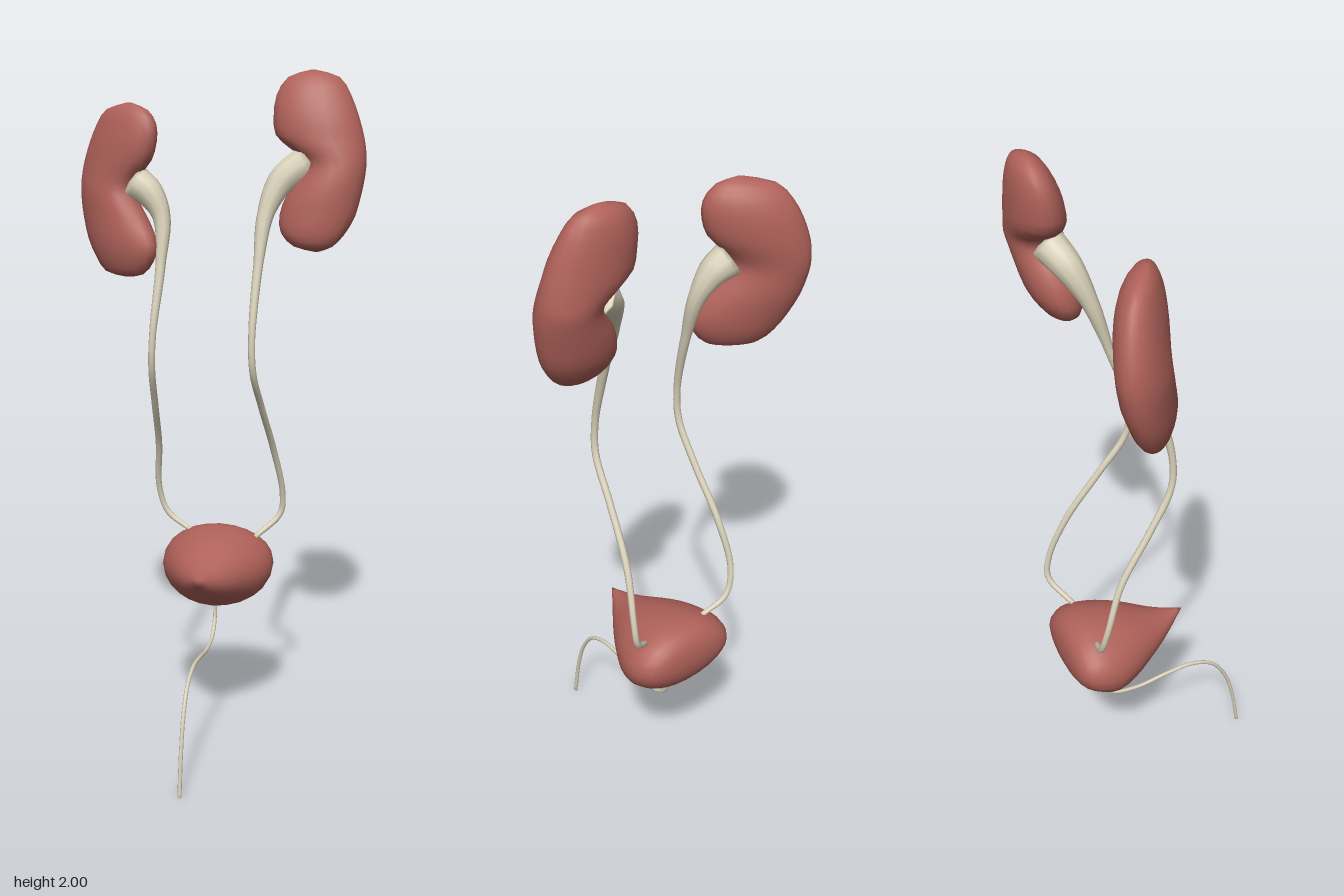
import * as THREE from 'three';
import { mergeVertices } from 'three/addons/utils/BufferGeometryUtils.js';

const red = new THREE.MeshStandardMaterial({ color: 0xb0625a });
const cream = new THREE.MeshStandardMaterial({ color: 0xd8d0b8 });

// Skin over a list of closed rings (arrays of Vector3)
function loft(rings) {
  const n = rings[0].length, index = [];
  for (let i = 0; i < rings.length - 1; i++) {
    for (let j = 0; j < n; j++) {
      const k = (j + 1) % n;
      const a = i * n + j, b = a + n, c = (i + 1) * n + k, d = i * n + k;
      index.push(a, b, c, a, c, d);
    }
  }
  let geo = new THREE.BufferGeometry().setFromPoints(rings.flat());
  geo.setIndex(index);
  geo = mergeVertices(geo, 1e-5);
  geo.computeVertexNormals();
  return geo;
}

// Smoothly resample the rows of a section table
function refine(rows, steps) {
  const spline = new THREE.CubicInterpolant(rows.map((_, i) => i), rows.flat(), rows[0].length);
  const count = (rows.length - 1) * steps;
  return Array.from({ length: count + 1 }, (_, i) => [...spline.evaluate(i / steps)]);
}

function ring(n, point) {
  return Array.from({ length: n }, (_, j) => {
    const a = (j / n) * Math.PI * 2;
    return point(Math.cos(a), Math.sin(a));
  });
}

function addMesh(group, name, geometry, material) {
  const mesh = new THREE.Mesh(geometry, material);
  mesh.name = name;
  group.add(mesh);
}

// Bean from level sections [y, xMin, xMax, zCentre, halfDepth], skewed in z along x
function kidney(rows, xCentre, skew) {
  return loft(refine(rows, 2).map(([y, x0, x1, zc, d]) =>
    ring(20, (c, s) => {
      const x = (x0 + x1) / 2 + ((x1 - x0) / 2) * c;
      return new THREE.Vector3(x, y, zc + skew * (x - xCentre) + d * s);
    })));
}

// Tapered tube through rows [x, y, z, radius], closed at both ends
function duct(rows, segments, sides) {
  const curve = new THREE.CatmullRomCurve3(rows.map(r => new THREE.Vector3(r[0], r[1], r[2])));
  const frames = curve.computeFrenetFrames(segments);
  const rings = [];
  for (let i = 0; i <= segments; i++) {
    const t = i / segments, u = curve.getUtoTmapping(t) * (rows.length - 1);
    const k = Math.min(Math.floor(u), rows.length - 2);
    const r = THREE.MathUtils.lerp(rows[k][3], rows[k + 1][3], u - k);
    const p = curve.getPointAt(t);
    const circle = ring(sides, (c, s) => p.clone()
      .addScaledVector(frames.normals[i], r * c)
      .addScaledVector(frames.binormals[i], -r * s));
    const cap = ring(sides, () => p.clone());
    if (i === 0) rings.push(cap);
    rings.push(circle);
    if (i === segments) rings.push(cap);
  }
  return loft(rings);
}

export function createModel() {
  const group = new THREE.Group();

  // Kidneys, the left one set higher
  addMesh(group, 'leftKidney', kidney([
    [1.50, 0.285, 0.295, -0.145, 0],
    [1.515, 0.225, 0.335, -0.145, 0.035],
    [1.55, 0.187, 0.368, -0.155, 0.058],
    [1.60, 0.18, 0.395, -0.17, 0.072],
    [1.66, 0.20, 0.41, -0.18, 0.078],
    [1.71, 0.235, 0.418, -0.19, 0.078],
    [1.75, 0.245, 0.42, -0.20, 0.077],
    [1.785, 0.20, 0.417, -0.205, 0.077],
    [1.82, 0.16, 0.41, -0.21, 0.076],
    [1.87, 0.152, 0.395, -0.215, 0.071],
    [1.93, 0.158, 0.37, -0.225, 0.058],
    [1.98, 0.19, 0.335, -0.233, 0.036],
    [2.0, 0.255, 0.265, -0.235, 0],
  ], 0.29, 0), red);
  addMesh(group, 'rightKidney', kidney([
    [1.418, -0.265, -0.255, -0.13, 0],
    [1.43, -0.33, -0.20, -0.13, 0.035],
    [1.47, -0.365, -0.165, -0.135, 0.058],
    [1.52, -0.392, -0.155, -0.14, 0.07],
    [1.58, -0.41, -0.185, -0.15, 0.075],
    [1.63, -0.418, -0.22, -0.155, 0.076],
    [1.67, -0.42, -0.238, -0.16, 0.076],
    [1.71, -0.417, -0.215, -0.165, 0.075],
    [1.75, -0.408, -0.18, -0.168, 0.074],
    [1.80, -0.39, -0.163, -0.17, 0.07],
    [1.85, -0.365, -0.163, -0.17, 0.058],
    [1.89, -0.33, -0.19, -0.165, 0.036],
    [1.91, -0.255, -0.245, -0.155, 0],
  ], -0.29, 0.5), red);

  // Ureters, widening into the funnel at each kidney
  addMesh(group, 'leftUreter', duct([
    [0.25, 1.745, -0.19, 0.05], [0.19, 1.70, -0.16, 0.042],
    [0.15, 1.61, -0.12, 0.025], [0.137, 1.47, -0.075, 0.014],
    [0.13, 1.27, -0.02, 0.01], [0.133, 1.17, -0.025, 0.01],
    [0.145, 1.05, -0.105, 0.01], [0.165, 0.90, -0.205, 0.01],
    [0.185, 0.75, -0.262, 0.009], [0.178, 0.68, -0.268, 0.009],
    [0.11, 0.615, -0.22, 0.008],
  ], 90, 10), cream);
  addMesh(group, 'rightUreter', duct([
    [-0.23, 1.685, -0.13, 0.05], [-0.19, 1.66, -0.12, 0.042],
    [-0.15, 1.595, -0.105, 0.026], [-0.144, 1.47, -0.07, 0.015],
    [-0.157, 1.27, -0.02, 0.01], [-0.162, 1.17, -0.025, 0.01],
    [-0.17, 1.05, -0.09, 0.01], [-0.183, 0.90, -0.185, 0.01],
    [-0.195, 0.75, -0.235, 0.009], [-0.17, 0.67, -0.245, 0.009],
    [-0.095, 0.622, -0.228, 0.008],
  ], 90, 10), cream);

  // Bladder from sections [z, halfWidth, yTop, yBottom], pointed at the front
  const bladder = [
    [0.09, 0, 0.572, 0.572], [0.05, 0.028, 0.578, 0.527],
    [0.0, 0.065, 0.588, 0.488], [-0.06, 0.107, 0.612, 0.452],
    [-0.12, 0.143, 0.632, 0.42], [-0.18, 0.167, 0.643, 0.405],
    [-0.23, 0.17, 0.645, 0.422], [-0.27, 0.155, 0.633, 0.448],
    [-0.295, 0.125, 0.608, 0.483], [-0.305, 0.07, 0.575, 0.515],
    [-0.308, 0, 0.545, 0.545],
  ];
  addMesh(group, 'bladder', loft(refine(bladder, 2).map(([z, w, top, bottom]) =>
    ring(24, (c, s) => new THREE.Vector3(
      -0.005 + w * c, (top + bottom) / 2 + ((top - bottom) / 2) * s, z)))), red);

  // Urethra
  const path = [
    [-0.185, 0.43], [-0.182, 0.36], [-0.145, 0.313], [-0.06, 0.30], [0.04, 0.316],
    [0.13, 0.322], [0.20, 0.295], [0.25, 0.225], [0.28, 0.13], [0.302, 0.0],
  ];
  addMesh(group, 'urethra', duct(path.map(([z, y]) => [-0.008, y, z, 0.006]), 60, 8), cream);

  return group;
}
